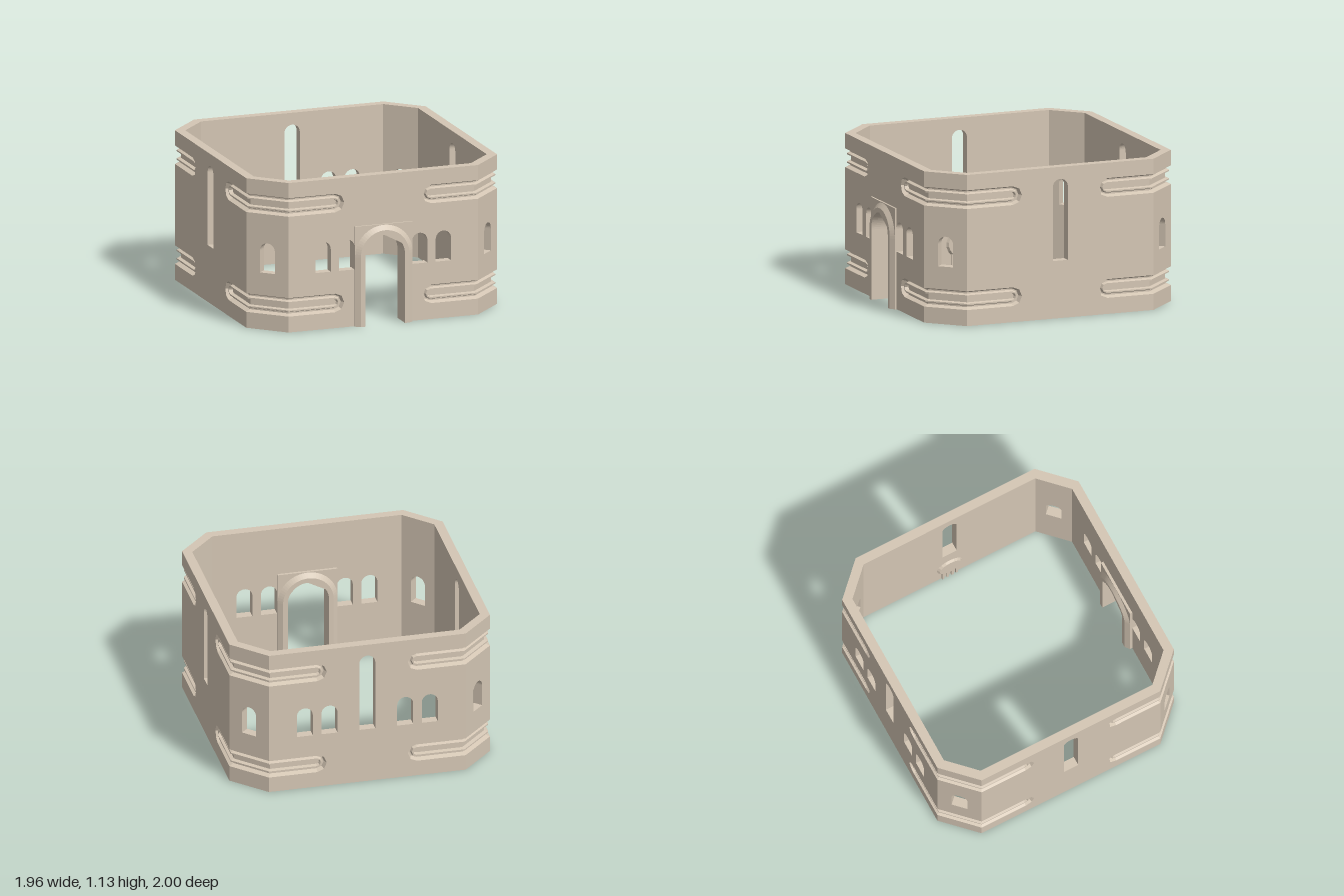
import * as THREE from 'three';

const HALF = 0.98, CORNER = 0.74;          // octagon half width, where the chamfer starts
const THICK = 0.07, SKIN = 0.04;           // wall thickness, depth of the decorated outer layer
const TOP = 1.13, MITRE = Math.tan(Math.PI / 8);
const BANDS = [0.19, 0.945], BAND_R = 0.07, BAND_END = 0.375;
const SPRING = 0.525;                      // height where the door arch starts

const stone = new THREE.MeshStandardMaterial({ color: 0xd4c6b4 });
stone.name = 'sandstone';

function add(parent, name, geometry) {
  const mesh = new THREE.Mesh(geometry, stone);
  mesh.name = name;
  parent.add(mesh);
  return mesh;
}

// Window opening with a round head
function archHole(x, width, bottom, top) {
  const r = width / 2, p = new THREE.Path();
  p.moveTo(x - r, bottom);
  p.lineTo(x + r, bottom);
  p.lineTo(x + r, top - r);
  p.absarc(x, top - r, r, 0, Math.PI, false);
  p.lineTo(x - r, bottom);
  return p;
}

// Wall outline, with optional door notch and band notches on both ends
function wallShape(door, notched) {
  const s = new THREE.Shape();
  s.moveTo(-CORNER, 0);
  if (door) {
    s.lineTo(-0.17, 0);
    s.lineTo(-0.17, SPRING);
    s.absarc(0, SPRING, 0.17, Math.PI, 0, true);
    s.lineTo(0.17, 0);
  }
  const side = [[CORNER, 0]];
  if (notched) for (const y of BANDS) {
    side.push([CORNER, y - BAND_R]);
    for (let i = 0; i <= 4; i++) {
      const a = Math.PI * (1.5 - i / 4);
      side.push([BAND_END + BAND_R * Math.cos(a), y + BAND_R * Math.sin(a)]);
    }
    side.push([CORNER, y + BAND_R]);
  }
  side.push([CORNER, TOP]);
  side.forEach(([x, y]) => s.lineTo(x, y));
  side.reverse().forEach(([x, y]) => s.lineTo(-x, y));
  return s;
}

function rectShape(half, y0, y1) {
  return new THREE.Shape([[-half, y0], [half, y0], [half, y1], [-half, y1]].map(p => new THREE.Vector2(...p)));
}

// Extrude a layer between two depths behind the outer face and mitre its ends
function layer(shape, half, dist, w0, w1) {
  const g = new THREE.ExtrudeGeometry(shape, { depth: w1 - w0, bevelEnabled: false, curveSegments: 10 });
  g.translate(0, 0, dist - w1);
  const p = g.attributes.position;
  for (let i = 0; i < p.count; i++) {
    const x = p.getX(i);
    if (Math.abs(x) > half - 1e-4) p.setX(i, x - Math.sign(x) * (dist - p.getZ(i)) * MITRE);
  }
  g.computeVertexNormals();
  return g;
}

// One closed ring of a band wrapping a corner, at an inset and a depth
function bandRing(yc, inset, w) {
  const r = BAND_R - inset, c = CORNER - MITRE * w, h = HALF - w, pts = [];
  for (let i = 0; i <= 4; i++) {
    const a = Math.PI * (0.5 + i / 4);
    pts.push([BAND_END + r * Math.cos(a), yc + r * Math.sin(a), h]);
  }
  pts.push([c, yc - r, h], [h, yc - r, c]);
  for (let i = 0; i <= 4; i++) {
    const a = Math.PI * (1.5 + i / 4);
    pts.push([h, yc + r * Math.sin(a), BAND_END - r * Math.cos(a)]);
  }
  pts.push([h, yc + r, c], [c, yc + r, h]);
  return pts;
}

// Groove, raised ridge and inner slot, lofted through rings
function bandGeometry(yc) {
  const profile = [[0, 0], [0.014, 0.035], [0.024, 0.035], [0.033, 0.012], [0.043, 0.012], [0.049, SKIN]];
  const rings = profile.map(([t, w]) => bandRing(yc, t, w));
  const v = [];
  for (let k = 0; k < rings.length - 1; k++) {
    const A = rings[k], B = rings[k + 1], n = A.length;
    for (let i = 0; i < n; i++) {
      const j = (i + 1) % n;
      v.push(...A[i], ...A[j], ...B[j], ...A[i], ...B[j], ...B[i]);
    }
  }
  const g = new THREE.BufferGeometry();
  g.setAttribute('position', new THREE.Float32BufferAttribute(v, 3));
  g.computeVertexNormals();
  return g;
}

// Inverted U outline for the door surround
function doorOutline(shape, r) {
  shape.lineTo(-r, 0);
  shape.lineTo(-r, SPRING);
  shape.absarc(0, SPRING, r, Math.PI, 0, true);
  shape.lineTo(r, 0);
  return shape;
}

function doorFrame() {
  const g = new THREE.Group();
  g.name = 'doorFrame';
  const R = 0.225, r = 0.155, opts = { bevelEnabled: false, curveSegments: 16 };
  // square slab with the arched opening
  const slab = new THREE.Shape();
  slab.moveTo(-R, 0);
  doorOutline(slab, r);
  slab.lineTo(R, 0);
  slab.lineTo(R, 0.755);
  slab.lineTo(-R, 0.755);
  add(g, 'doorSlab', new THREE.ExtrudeGeometry(slab, { ...opts, depth: 0.104 }).translate(0, 0, -0.052));
  // arched moulding whose outer edge is chamfered
  const band = new THREE.Shape();
  band.moveTo(-R, 0);
  doorOutline(band, r);
  band.lineTo(R, 0);
  band.lineTo(R, SPRING);
  band.absarc(0, SPRING, R, 0, Math.PI, false);
  const mould = new THREE.ExtrudeGeometry(band, { ...opts, depth: 0.026 });
  const p = mould.attributes.position, k = 0.19 / R;
  for (let i = 0; i < p.count; i++) {
    const x = p.getX(i), rise = Math.max(0, p.getY(i) - SPRING);
    if (p.getZ(i) > 0.01 && Math.hypot(x, rise) > 0.2) {
      p.setX(i, x * k);
      if (rise > 0) p.setY(i, SPRING + rise * k);
    }
  }
  mould.translate(0, 0, 0.052);
  mould.computeVertexNormals();
  add(g, 'outerMoulding', mould);
  add(g, 'innerMoulding', mould).rotation.y = Math.PI;
  g.position.z = 0.942;
  return g;
}

// Round relief on short posts, on the inner face of a wall
function medallion() {
  const g = new THREE.Group();
  g.name = 'medallion';
  const z = HALF - THICK;
  add(g, 'disc', new THREE.CylinderGeometry(0.09, 0.105, 0.018, 18).toNonIndexed()
    .rotateX(-Math.PI / 2).translate(0, 0.19, z - 0.008)).geometry.computeVertexNormals();
  for (const x of [-0.056, -0.02, 0.02, 0.056]) {
    add(g, 'post', new THREE.BoxGeometry(0.02, 0.12, 0.014).translate(x, 0.06, z - 0.005));
  }
  return g;
}

export function createModel() {
  const model = new THREE.Group();
  model.name = 'towerStorey';
  const diagHalf = (HALF - CORNER) / Math.SQRT2, diagDist = (HALF + CORNER) / Math.SQRT2;

  for (let i = 0; i < 4; i++) {
    const turn = i * Math.PI / 2;

    // straight walls: front, left, back, right
    const wall = new THREE.Group();
    wall.name = ['frontWall', 'leftWall', 'backWall', 'rightWall'][i];
    wall.rotation.y = turn;
    const holes = [];
    if (i % 2 === 0) for (const x of [-0.47, -0.285, 0.285, 0.47]) holes.push(archHole(x, 0.12, 0.43, 0.66));
    if (i > 0) holes.push(archHole(0, 0.12, 0.43, 1.04));
    const outer = wallShape(i === 0, true), inner = wallShape(i === 0, false);
    outer.holes = holes;
    inner.holes = holes;
    add(wall, 'outerFace', layer(outer, CORNER, HALF, 0, SKIN));
    add(wall, 'innerFace', layer(inner, CORNER, HALF, SKIN, THICK));
    wall.add(i === 0 ? doorFrame() : medallion());
    model.add(wall);

    // chamfered corner walls with one window each
    const corner = new THREE.Group();
    corner.name = 'cornerWall';
    corner.rotation.y = turn + Math.PI / 4;
    const body = rectShape(diagHalf, 0, TOP);
    const window = archHole(0, 0.12, 0.43, 0.655);
    body.holes = [window];
    add(corner, 'innerFace', layer(body, diagHalf, diagDist, SKIN, THICK));
    const [lo, hi] = BANDS;
    [[0, lo - BAND_R], [lo + BAND_R, hi - BAND_R], [hi + BAND_R, TOP]].forEach(([y0, y1], k) => {
      const strip = rectShape(diagHalf, y0, y1);
      if (k === 1) strip.holes = [window];
      add(corner, 'outerFace', layer(strip, diagHalf, diagDist, 0, SKIN));
    });
    model.add(corner);

    // recessed bands wrapping the corner
    for (const y of BANDS) add(model, 'cornerBand', bandGeometry(y)).rotation.y = turn;
  }

  model.children.forEach(c => { c.position.z -= 0.02; });
  return model;
}
